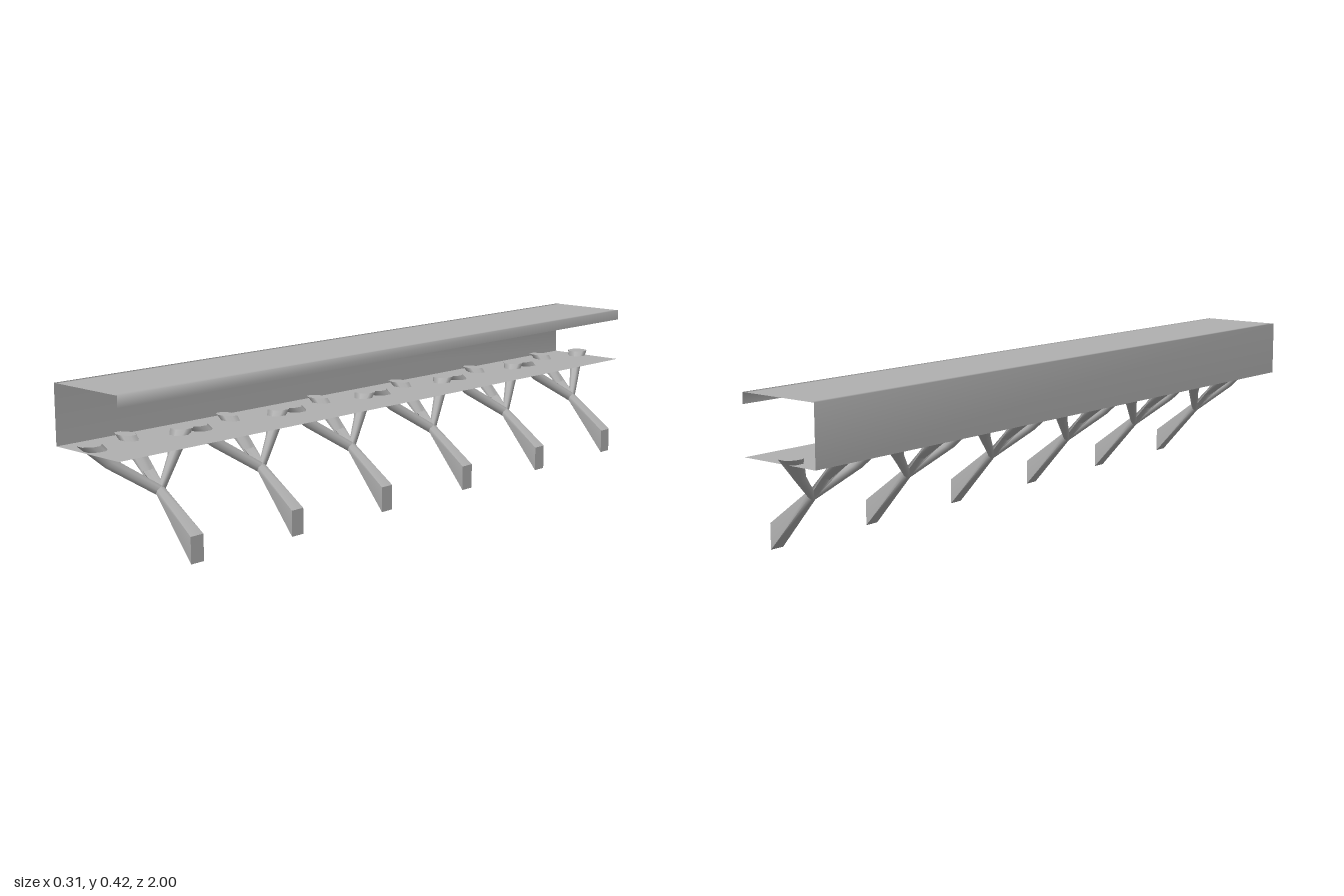
import * as THREE from 'three';

const grey = new THREE.MeshStandardMaterial({ color: 0xb0b0b0, side: THREE.DoubleSide });
grey.name = 'plainGrey';

// Thin sheet: an x/y profile swept along z, smooth across its folds
function sheet(name, profile, zFront, zBack) {
  const pos = [], idx = [];
  profile.forEach(([x, y], i) => {
    pos.push(x, y, zFront, x, y, zBack);
    if (i) {
      const a = 2 * (i - 1);
      idx.push(a, a + 2, a + 1, a + 1, a + 2, a + 3);
    }
  });
  return build(name, pos, idx);
}

function build(name, pos, idx) {
  const g = new THREE.BufferGeometry();
  g.setAttribute('position', new THREE.Float32BufferAttribute(pos, 3));
  g.setIndex(idx);
  g.computeVertexNormals();
  const mesh = new THREE.Mesh(g, grey);
  mesh.name = name;
  return mesh;
}

// Strut lofted through sections {c: centre, u: half axis in x/y, w: half width in z, square}
const SIDES = 8;
function strut(name, sections) {
  const pos = [], idx = [];
  const ring = ({ c, u, w, square }) => {
    for (let k = 0; k < SIDES; k++) {
      const t = ((k + 0.5) / SIDES) * Math.PI * 2;
      const f = (v) => square ? Math.sign(v) * Math.min(1, Math.abs(v) * 2.7) : v / 0.924;
      pos.push(c[0] + u[0] * f(Math.cos(t)), c[1] + u[1] * f(Math.cos(t)), c[2] + w * f(Math.sin(t)));
    }
  };
  sections.forEach((s, i) => {
    ring(s);
    if (!i) return;
    const a = (i - 1) * SIDES, b = i * SIDES;
    for (let k = 0; k < SIDES; k++) {
      const n = (k + 1) % SIDES;
      idx.push(a + k, a + n, b + k, b + k, a + n, b + n);
    }
  });
  // flat end cap with its own vertices
  const cap = pos.length / 3;
  ring(sections[sections.length - 1]);
  for (let k = 1; k < SIDES - 1; k++) idx.push(cap, cap + k, cap + k + 1);
  return build(name, pos, idx);
}

// Bracket: one foot, a rear post and two side branches from a narrow joint
function bracket(z) {
  const g = new THREE.Group();
  g.name = 'bracket';
  g.position.z = z;
  const joint = { c: [0.024, 0.154, 0], u: [0.006, 0.011], w: 0.013 };
  g.add(strut('foot', [
    joint,
    { c: [0.155, 0.034, 0], u: [0, 0.034], w: 0.02, square: true },
  ]));
  g.add(strut('post', [
    joint,
    { c: [-0.108, 0.277, 0], u: [-0.032, 0], w: 0.021 },
  ]));
  for (const s of [-1, 1]) {
    g.add(strut('branch', [
      joint,
      { c: [-0.035, 0.224, s * 0.095], u: [0.011, 0.009], w: 0.02 },
      { c: [-0.063, 0.278, s * 0.143], u: [0.028, 0], w: 0.029 },
    ]));
  }
  return g;
}

export function createModel() {
  const model = new THREE.Group();
  model.name = 'bracketedChannel';

  // Back wall, roof and short front lip
  model.add(sheet('roofAndBackWall', [
    [-0.16, 0.264], [-0.16, 0.42], [-0.145, 0.42],
    [0.068, 0.42], [0.083, 0.42], [0.083, 0.391],
  ], 1, -0.982));
  // Flat floor
  model.add(sheet('floor', [[0.083, 0.264], [-0.16, 0.264]], 1, -0.982));

  for (let i = 0; i < 6; i++) model.add(bracket(0.832 - i * 0.3315));
  return model;
}
